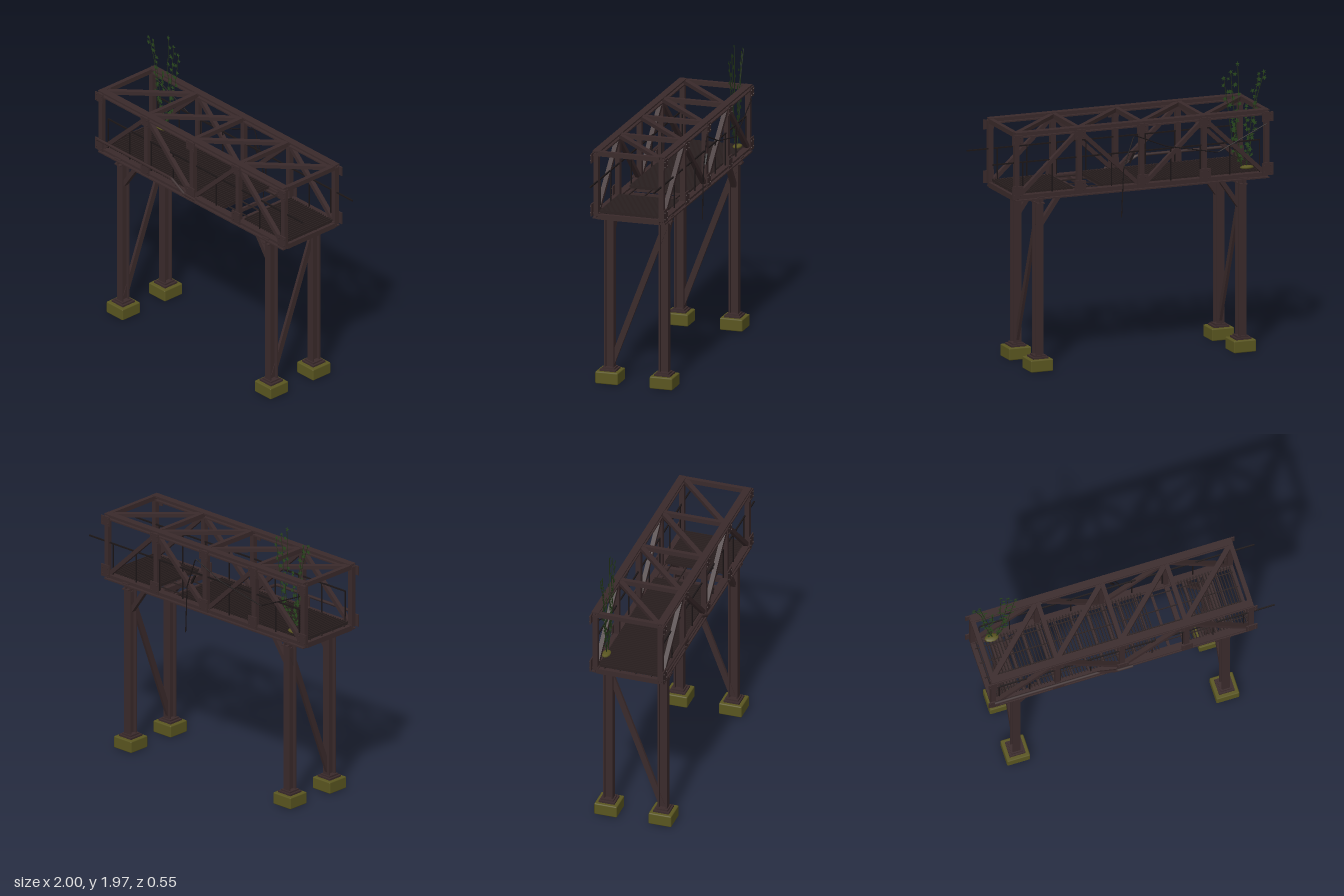
import * as THREE from 'three';
import { RoundedBoxGeometry } from 'three/addons/geometries/RoundedBoxGeometry.js';

const mat = (name, color, side = THREE.FrontSide) => {
  const m = new THREE.MeshStandardMaterial({ color, side });
  m.name = name;
  return m;
};

export function createModel() {
  const root = new THREE.Group();
  root.name = 'footbridge';
  const steel = mat('rusty steel', 0x3a2a2b);
  const grate = mat('dark grating', 0x2a2020);
  const iron = mat('blackened iron', 0x1c1617);
  const moss = mat('mossy concrete', 0x5a5620);
  const leaf = mat('leaf green', 0x2a4a1e, THREE.DoubleSide);
  const stem = mat('stem green', 0x25351a);

  const V = (x, y, z) => new THREE.Vector3(x, y, z);
  const add = (name, geo, m, x = 0, y = 0, z = 0) => {
    const mesh = new THREE.Mesh(geo, m);
    mesh.name = name;
    mesh.position.set(x, y, z);
    root.add(mesh);
    return mesh;
  };
  const box = (name, w, h, d, x, y, z, m = steel) => add(name, new THREE.BoxGeometry(w, h, d), m, x, y, z);

  // Places a geometry that runs along z between two points
  const span = (name, geo, a, b, m, up) => {
    const mesh = add(name, geo, m);
    const dir = b.clone().sub(a).normalize();
    const side = up.clone().cross(dir).normalize();
    mesh.quaternion.setFromRotationMatrix(new THREE.Matrix4().makeBasis(side, dir.clone().cross(side), dir));
    mesh.position.copy(a).add(b).multiplyScalar(0.5);
    return mesh;
  };
  const bar = (name, a, b, w, h, m = steel, up = V(0, 0, 1)) =>
    span(name, new THREE.BoxGeometry(w, h, a.distanceTo(b)), a, b, m, up);

  // I-section beam: w across the flanges, h deep, t thick
  const beam = (name, a, b, w, h, t = 0.009, up = V(0, 1, 0)) => {
    const W = w / 2, H = h / 2, T = t / 2, len = a.distanceTo(b);
    const half = [[W, -H], [W, -H + t], [T, -H + t], [T, H - t], [W, H - t], [W, H]];
    const pts = [...half, ...half.map(([x, y]) => [-x, -y])];
    const geo = new THREE.ExtrudeGeometry(new THREE.Shape(pts.map((p) => new THREE.Vector2(...p))),
      { depth: len, bevelEnabled: false });
    geo.translate(0, 0, -len / 2);
    return span(name, geo, a, b, steel, up);
  };
  const wire = (name, pts, r, m) => {
    const path = new THREE.CurvePath();
    for (let i = 1; i < pts.length; i++) path.add(new THREE.LineCurve3(pts[i - 1], pts[i]));
    return add(name, new THREE.TubeGeometry(path, pts.length * 12, r, 5), m);
  };

  const x0 = -0.96, bay = 0.4475, x1 = x0 + 4 * bay;
  const nodes = [0, 1, 2, 3, 4].map((i) => x0 + i * bay);
  const low = 1.19, high = 1.618, trussZ = 0.228;

  // Supports: footings, base plates, columns and braces
  for (const x of [-0.793, 0.66]) {
    const inward = x < 0 ? 1 : -1;
    for (const z of [-0.19, 0.19]) {
      add('footing', new RoundedBoxGeometry(0.16, 0.083, 0.16, 1, 0.008), moss, x, 0.0415, z);
      box('basePlate', 0.11, 0.012, 0.11, x, 0.089, z);
      box('columnShoe', 0.08, 0.012, 0.085, x, 0.1, z);
      beam('column', V(x, 0.09, z), V(x, 1.17, z), 0.055, 0.066, 0.01, V(0, 0, 1));
      bar('kneeBrace', V(x + inward * 0.015, 0.985, z), V(x + inward * 0.155, 1.185, z), 0.03, 0.035);
    }
    beam('capBeam', V(x, 1.16, -0.245), V(x, 1.16, 0.245), 0.055, 0.05);
    bar('columnBrace', V(x, 0.12, 0.18), V(x, 1.11, -0.195), 0.02, 0.04, steel, V(0, 1, 0));
  }

  // Side trusses
  const bolt = new THREE.CylinderGeometry(0.006, 0.006, 0.008, 6).rotateX(Math.PI / 2);
  for (const s of [-1, 1]) {
    const z = s * trussZ;
    beam('bottomChord', V(x0 - 0.012, low, z), V(x1 + 0.012, low, z), 0.05, 0.042);
    beam('topChord', V(x0 - 0.012, high, z), V(x1 + 0.012, high, z), 0.05, 0.038);
    nodes.forEach((x, i) => {
      bar('truss post', V(x, low, z), V(x, high, z), 0.034, 0.034);
      box('topGusset', 0.078, 0.065, 0.008, x, 1.588, s * 0.253);
      box('bottomGusset', 0.078, 0.085, 0.008, x, 1.232, s * 0.253);
      for (const dx of [-0.024, 0.024])
        for (const y of [1.57, 1.605, 1.21, 1.255]) add('bolt', bolt, steel, x + dx, y, s * 0.259);
      if (i < 4) {
        const up = i % 2 === 0;
        bar('trussDiagonal', V(x, up ? low : high - 0.01, z), V(x + bay, up ? high - 0.01 : low, z), 0.028, 0.03);
      }
    });

    // Handrail on thin posts, running past the right end
    const rz = s * 0.222 - 0.006;
    bar('handrail', V(-0.912, 1.43, rz), V(1, 1.43, rz), 0.009, 0.009, iron);
    for (let i = 0; i < 9; i++) box('handrailPost', 0.007, 0.24, 0.007, -0.912 + i * 0.212, 1.31, rz, iron);
  }

  // Overhead struts and wind bracing
  nodes.forEach((x, i) => {
    box('topStrut', 0.03, 0.032, 0.43, x, high, 0);
    if (i < 4) bar('topBrace', V(x, high, 0.215), V(x + bay, high, -0.215), 0.034, 0.026, steel, V(0, 1, 0));
  });

  // Floor beams below the deck
  for (let i = 0; i <= 16; i++) {
    const main = i % 4 === 0;
    box('floorBeam', main ? 0.032 : 0.018, main ? 0.036 : 0.024, 0.43, x0 + (i * bay) / 4, 1.185, 0);
  }

  // Grating slats and rods, with a missing panel
  for (const [a, b] of [[-0.94, 0.2], [0.42, 0.82]]) {
    const n = Math.round((b - a) / 0.0215);
    for (let i = 0; i <= n; i++)
      box('gratingSlat', 0.006, 0.022, 0.42, a + ((b - a) * i) / n, 1.214, 0, grate);
  }
  for (const z of [-0.165, -0.058, 0.05, 0.16])
    box('gratingRod', x1 - x0, 0.008, 0.006, (x0 + x1) / 2, 1.208, z, grate);

  // Service pipe sagging along the front face
  const pz = 0.265;
  wire('servicePipe', [V(-0.96, 1.276, pz), V(-0.24, 1.276, pz), V(-0.12, 1.212, pz), V(0, 1.208, pz)], 0.011, steel);

  // Loose cable and broken bracket on the back face
  wire('looseCable', [V(-0.95, 1.54, -0.255), V(-0.6, 1.38, -0.265), V(-0.23, 1.455, -0.268),
    V(0, 1.55, -0.262), V(0.075, 1.33, -0.264), V(0.09, 1.0, -0.262)], 0.004, iron);
  bar('brokenBracket', V(0.002, 1.43, -0.264), V(0.035, 1.365, -0.264), 0.012, 0.012, iron);

  // Climbing plant: stems with flat star leaves
  let seed = 11;
  const rnd = () => (seed = (seed * 16807) % 2147483647) / 2147483647;
  const star = new THREE.Shape();
  for (let i = 0; i < 10; i++) {
    const r = i % 2 ? 0.009 : 0.021, a = (i * Math.PI) / 5;
    star[i ? 'lineTo' : 'moveTo'](r * Math.cos(a), r * Math.sin(a));
  }
  const leafGeo = new THREE.ShapeGeometry(star);
  const mound = add('mossMound', new THREE.SphereGeometry(0.05, 10, 6), moss, -0.835, 1.243, -0.195);
  mound.scale.set(1, 0.25, 0.6);
  const stems = [
    [[-0.83, 1.25], [-0.88, 1.5], [-0.905, 1.7], [-0.96, 1.88]],
    [[-0.83, 1.25], [-0.85, 1.45], [-0.89, 1.7], [-0.92, 1.87]],
    [[-0.83, 1.25], [-0.86, 1.4], [-0.83, 1.55], [-0.83, 1.66]],
    [[-0.8, 1.25], [-0.75, 1.42], [-0.775, 1.65], [-0.77, 1.95]],
    [[-0.8, 1.25], [-0.76, 1.5], [-0.735, 1.7], [-0.72, 1.9]],
    [[-0.8, 1.25], [-0.74, 1.4], [-0.7, 1.65], [-0.67, 1.86]],
  ];
  for (const pts of stems) {
    const curve = new THREE.CatmullRomCurve3(pts.map(([x, y]) => V(x, y, -0.195)));
    add('vineStem', new THREE.TubeGeometry(curve, 20, 0.0025, 4), stem);
    for (let i = 0; i < 13; i++) {
      const p = curve.getPoint(0.1 + (0.9 * i) / 12);
      const l = add('vineLeaf', leafGeo, leaf, p.x + (i < 12 ? (rnd() - 0.5) * 0.045 : 0), p.y, p.z + (rnd() - 0.5) * 0.012);
      l.rotation.z = rnd() * 6.28;
      l.scale.setScalar(0.65 + rnd() * 0.4);
    }
  }
  return root;
}
